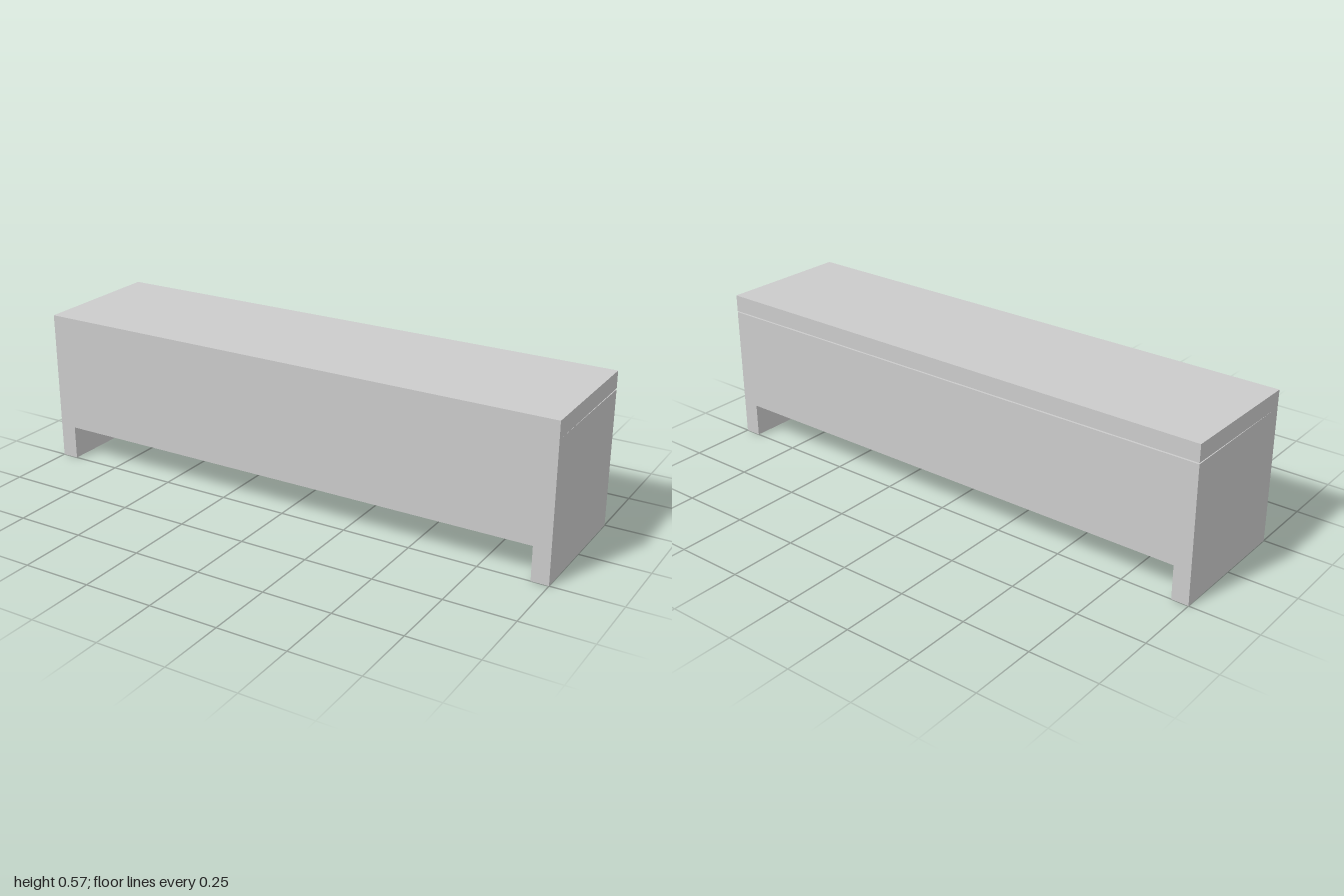
import * as THREE from 'three';

const LENGTH = 2, DEPTH = 0.5, HEIGHT = 0.5; // chest body without the lid
const T = 0.0625;                            // board thickness
const CLEARANCE = 0.125;                     // gap below the floor

export function createModel() {
  const group = new THREE.Group();
  group.name = 'storageBench';
  const material = new THREE.MeshStandardMaterial({ color: 0xcccccc });

  const board = (name, size, position, parent = group) => {
    const mesh = new THREE.Mesh(new THREE.BoxGeometry(...size), material);
    mesh.name = name;
    mesh.position.set(...position);
    parent.add(mesh);
    return mesh;
  };

  // End panels reach the ground and act as feet
  for (const [name, s] of [['leftEndPanel', 1], ['rightEndPanel', -1]]) {
    board(name, [T, HEIGHT, DEPTH], [s * (LENGTH - T) / 2, HEIGHT / 2, 0]);
  }

  // Long panels between the ends, raised off the ground
  const inner = LENGTH - 2 * T;
  const wallHeight = HEIGHT - CLEARANCE;
  for (const [name, s] of [['frontPanel', 1], ['backPanel', -1]]) {
    board(name, [inner, wallHeight, T], [0, CLEARANCE + wallHeight / 2, s * (DEPTH - T) / 2]);
  }

  // Floor of the chest
  board('floorPanel', [inner, T, DEPTH - 2 * T], [0, CLEARANCE + T / 2, 0]);

  // Lid hinged on the front top edge, open by half a degree at the back
  const hinge = new THREE.Group();
  hinge.name = 'lidHinge';
  hinge.position.set(0, HEIGHT, DEPTH / 2);
  hinge.rotation.x = THREE.MathUtils.degToRad(0.5);
  board('lid', [LENGTH, T, DEPTH], [0, T / 2, -DEPTH / 2], hinge);
  group.add(hinge);

  return group;
}
